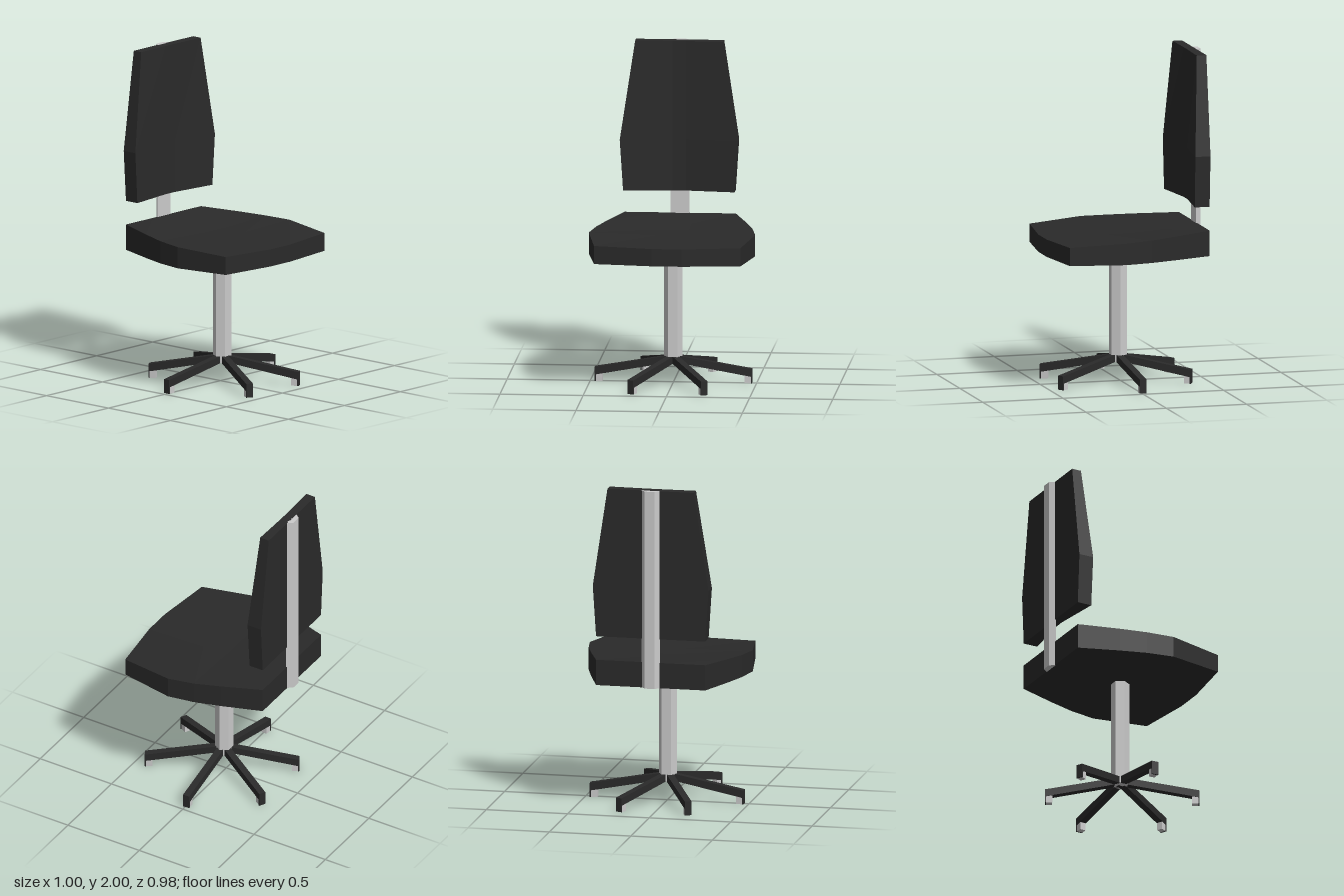
import * as THREE from 'three';

const dark = new THREE.MeshStandardMaterial({ color: 0x2a2a2a, flatShading: true });
const grey = new THREE.MeshStandardMaterial({ color: 0xcccccc, flatShading: true });

function add(parent, name, geometry, material) {
  const mesh = new THREE.Mesh(geometry, material);
  mesh.name = name;
  parent.add(mesh);
  return mesh;
}

// Closed slab between two matching grids of points; `face` is seen with
// columns running right and rows running up.
function slab(face, rear) {
  const pos = [];
  const quad = (a, b, c, d) => [a, b, c, a, c, d].forEach((p) => pos.push(...p));
  const R = face.length - 1, C = face[0].length - 1;
  for (let r = 0; r < R; r++) {
    for (let c = 0; c < C; c++) {
      quad(face[r][c], face[r][c + 1], face[r + 1][c + 1], face[r + 1][c]);
      quad(rear[r][c], rear[r + 1][c], rear[r + 1][c + 1], rear[r][c + 1]);
    }
    quad(rear[r][0], face[r][0], face[r + 1][0], rear[r + 1][0]);
    quad(face[r][C], rear[r][C], rear[r + 1][C], face[r + 1][C]);
  }
  for (let c = 0; c < C; c++) {
    quad(rear[0][c], rear[0][c + 1], face[0][c + 1], face[0][c]);
    quad(face[R][c], face[R][c + 1], rear[R][c + 1], rear[R][c]);
  }
  const g = new THREE.BufferGeometry();
  g.setAttribute('position', new THREE.Float32BufferAttribute(pos, 3));
  g.computeVertexNormals();
  return g;
}

// Seat rows from front to back: half width, edge z, centre z, edge y, centre y
function seatGeometry() {
  const rows = [
    [0.44, 0.44, 0.485, 0.9, 0.895],
    [0.5, 0.105, 0.105, 0.92, 0.908],
    [0.47, -0.06, -0.06, 0.926, 0.912],
    [0.42, -0.22, -0.22, 0.934, 0.922],
    [0.335, -0.46, -0.46, 0.945, 0.945],
  ];
  const grid = (flat) => rows.map(([w, ze, zc, ye, yc]) => [
    [-w, flat ?? ye, ze], [-0.09, flat ?? yc, zc], [0.09, flat ?? yc, zc], [w, flat ?? ye, ze],
  ]);
  return slab(grid(), grid(0.79));
}

// Backrest rows from bottom to top: half width, y, edge z; the middle is hollowed
function backGeometry() {
  const rows = [[0.335, 1.09, -0.368], [0.355, 1.4, -0.366], [0.265, 2, -0.4]];
  const grid = (flat) => rows.map(([w, y, z]) => [
    [-w, y, flat ?? z], [-0.04, y, flat ?? -0.405], [0.04, y, flat ?? -0.405], [w, y, flat ?? z],
  ]);
  return slab(grid(), grid(-0.46));
}

// Prism from a 2D outline, centred on its thickness
function prism(points, depth) {
  const shape = new THREE.Shape(points.map(([x, y]) => new THREE.Vector2(x, y)));
  return new THREE.ExtrudeGeometry(shape, { depth, bevelEnabled: false }).translate(0, 0, -depth / 2);
}

export function createModel() {
  const chair = new THREE.Group();
  chair.name = 'officeChair';

  add(chair, 'seat', seatGeometry(), dark);
  add(chair, 'backrest', backGeometry(), dark);

  // Upright behind the seat and backrest
  const post = prism([[-0.057, 0.455], [0.057, 0.455], [0.03, 0.49], [-0.03, 0.49]], 1.21);
  post.rotateX(-Math.PI / 2);
  post.translate(0, 0.79 + 1.21 / 2, 0);
  add(chair, 'backPost', post, grey);

  // Six-sided column with corners to the left and right
  const column = new THREE.CylinderGeometry(0.056, 0.056, 0.67, 6);
  column.rotateY(Math.PI / 2);
  add(chair, 'column', column, grey).position.set(0, 0.455, 0.015);

  // Six sloping legs, each with an end plate and a caster block
  const legShape = prism([
    [0, 0.12], [0.04, 0.12], [0.465, 0.04], [0.465, 0], [0.473, 0],
    [0.473, 0.085], [0.04, 0.163], [0, 0.163],
  ], 0.042);
  const caster = new THREE.BoxGeometry(0.038, 0.055, 0.036).translate(0.446, 0.0275, 0);
  const base = new THREE.Group();
  base.name = 'base';
  base.position.z = 0.018;
  for (const degrees of [3, 62, 118, 177, 242, 298]) {
    const leg = new THREE.Group();
    leg.name = 'leg';
    add(leg, 'legBar', legShape, dark);
    add(leg, 'caster', caster, grey);
    leg.rotation.y = THREE.MathUtils.degToRad(degrees);
    if (degrees > 3 && degrees < 177) leg.scale.x = 0.96;
    base.add(leg);
  }
  chair.add(base);
  return chair;
}
